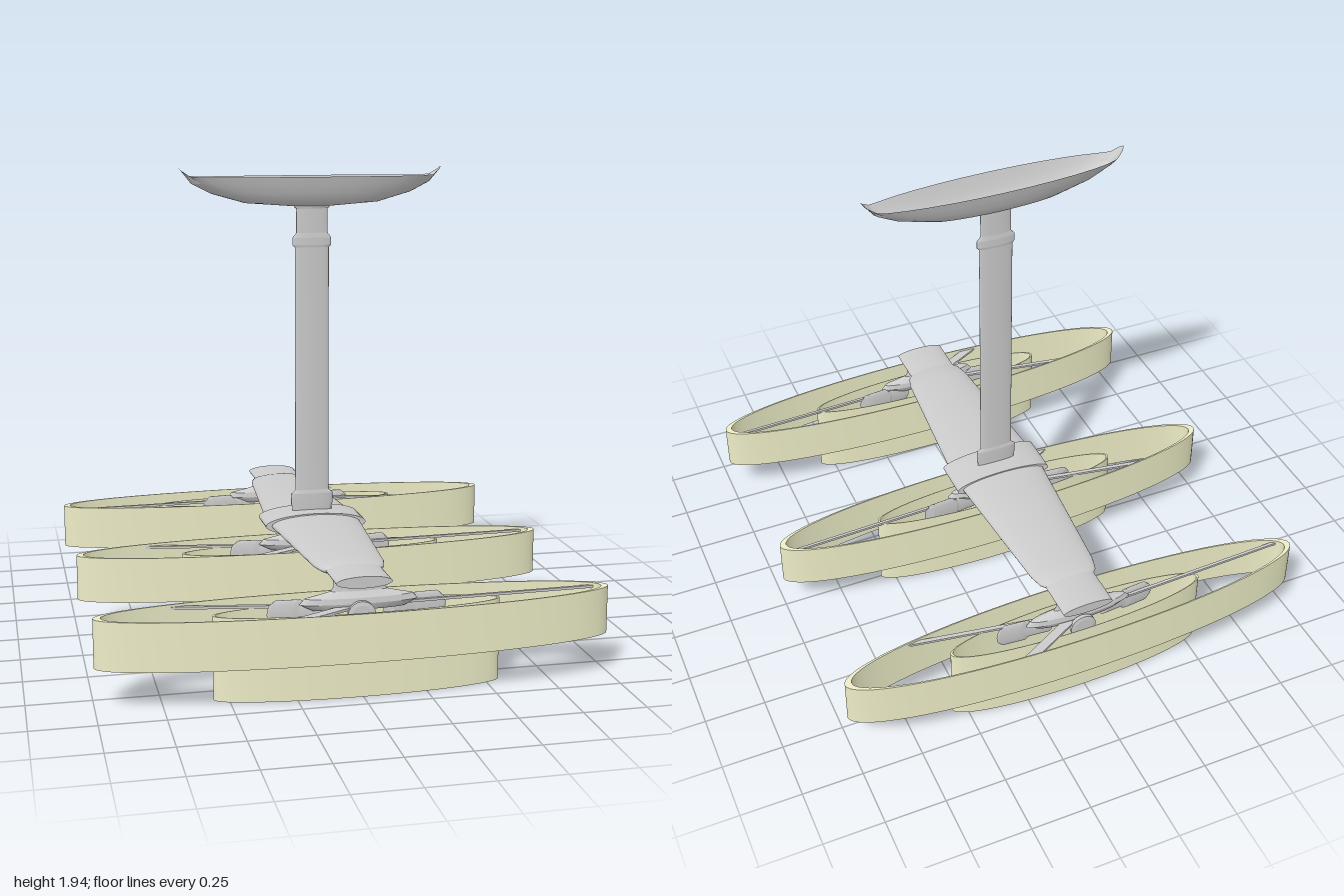
import * as THREE from 'three';
import { toCreasedNormals } from 'three/addons/utils/BufferGeometryUtils.js';

const grey = new THREE.MeshStandardMaterial({ color: 0xcccccc });
const shade = new THREE.MeshStandardMaterial({ color: 0xeeeec8, side: THREE.DoubleSide });
const SQUASH = 0.155; // depth ratio of all round parts with a vertical axis

function add(parent, name, geometry, material = grey) {
  const mesh = new THREE.Mesh(geometry, material);
  mesh.name = name;
  parent.add(mesh);
  return mesh;
}

// Turned shape from [radius, height] pairs, with crisp edges
function turned(points, segments = 48) {
  const lathe = new THREE.LatheGeometry(points.map(([r, y]) => new THREE.Vector2(r, y)), segments);
  return toCreasedNormals(lathe, 0.6);
}

// Thin open drum wall
function drum(outer, inner, bottom, top) {
  return turned([[outer, bottom], [outer, top], [inner, top], [inner, bottom], [outer, bottom]], 72);
}

// Turned shape laid along z and flattened to an ellipse
function flattened(points) {
  return turned(points, 32).rotateX(Math.PI / 2).scale(1, 0.21, 1);
}

function createLamp(name) {
  const lamp = new THREE.Group();
  lamp.name = name;
  add(lamp, 'outerShade', drum(1, 0.972, 0.17, 0.36), shade);
  add(lamp, 'innerShade', drum(0.558, 0.548, 0.012, 0.34), shade);

  // Domed hub and the stem up to the crossbar
  add(lamp, 'hub', turned([
    [0, 0.33], [0.18, 0.335], [0.23, 0.36], [0.21, 0.382], [0.15, 0.395],
    [0.11, 0.405], [0.1, 0.42], [0.1, 0.46], [0, 0.46],
  ]));

  for (let i = 0; i < 3; i++) {
    // Flat spokes carrying the shades
    const spoke = new THREE.Group();
    spoke.rotation.y = 0.24 + i * Math.PI * 2 / 3;
    lamp.add(spoke);
    add(spoke, 'spoke', new THREE.BoxGeometry(0.8, 0.01, 0.08)).position.set(0.575, 0.345, 0);

    // Bulb sockets around the hub
    const holder = new THREE.Group();
    holder.rotation.y = Math.PI / 6 + i * Math.PI * 2 / 3;
    lamp.add(holder);
    const socket = turned([[0, 0.14], [0.04, 0.14], [0.04, 0.24], [0.055, 0.26], [0.055, 0.36], [0.04, 0.38], [0, 0.38]], 20);
    add(holder, 'socket', socket.rotateZ(-Math.PI / 2)).position.y = 0.32;
  }
  return lamp;
}

// Shallow ceiling bowl with its rim drawn up into a tip at both ends
function createCanopy() {
  const profile = [[0, 1.79], [0.08, 1.79], [0.28, 1.805], [0.42, 1.845], [0.5, 1.885], [0.55, 1.912]];
  const geometry = new THREE.LatheGeometry(profile.map(([r, y]) => new THREE.Vector2(r, y)), 32);
  const p = geometry.attributes.position;
  for (let i = 0; i < p.count; i++) {
    const lift = Math.max(0, (Math.abs(p.getX(i)) - 0.49) / 0.06);
    p.setY(i, p.getY(i) + 0.038 * lift * lift);
  }
  geometry.computeVertexNormals();
  return toCreasedNormals(geometry, 0.3);
}

export function createModel() {
  const model = new THREE.Group();
  model.name = 'pendantLight';

  // Tapered crossbar with straight ends
  add(model, 'crossbar', flattened([
    [0, -0.93], [0.108, -0.93], [0.108, -0.76], [0.125, -0.74], [0.14, -0.68], [0.19, -0.08],
    [0.19, 0.08], [0.14, 0.68], [0.125, 0.74], [0.108, 0.76], [0.108, 0.93], [0, 0.93],
  ])).position.y = 0.46;
  add(model, 'centreSleeve', flattened([
    [0.18, -0.085], [0.215, -0.085], [0.215, 0.085], [0.18, 0.085],
  ])).position.y = 0.46;

  // Upright parts share the same shallow depth
  const upright = new THREE.Group();
  upright.name = 'suspension';
  upright.scale.z = SQUASH;
  model.add(upright);
  add(upright, 'rod', turned([
    [0, 0.46], [0.085, 0.46], [0.085, 0.515], [0.09, 0.53], [0.09, 0.575], [0.072, 0.59],
    [0.072, 1.62], [0.082, 1.63], [0.082, 1.66], [0.066, 1.68], [0.066, 1.78], [0.075, 1.785],
    [0.075, 1.8], [0, 1.8],
  ], 32));
  const thin = grey.clone();
  thin.side = THREE.DoubleSide;
  add(upright, 'canopy', createCanopy(), thin);

  // Three lamps in a row, the rear one turned about
  [0.84, 0, -0.84].forEach((z, i) => {
    const holder = new THREE.Group();
    holder.name = ['frontLamp', 'middleLamp', 'rearLamp'][i];
    holder.position.z = z;
    holder.scale.z = SQUASH;
    const lamp = createLamp('lamp');
    if (i === 2) lamp.rotation.y = Math.PI;
    holder.add(lamp);
    model.add(holder);
  });
  return model;
}
